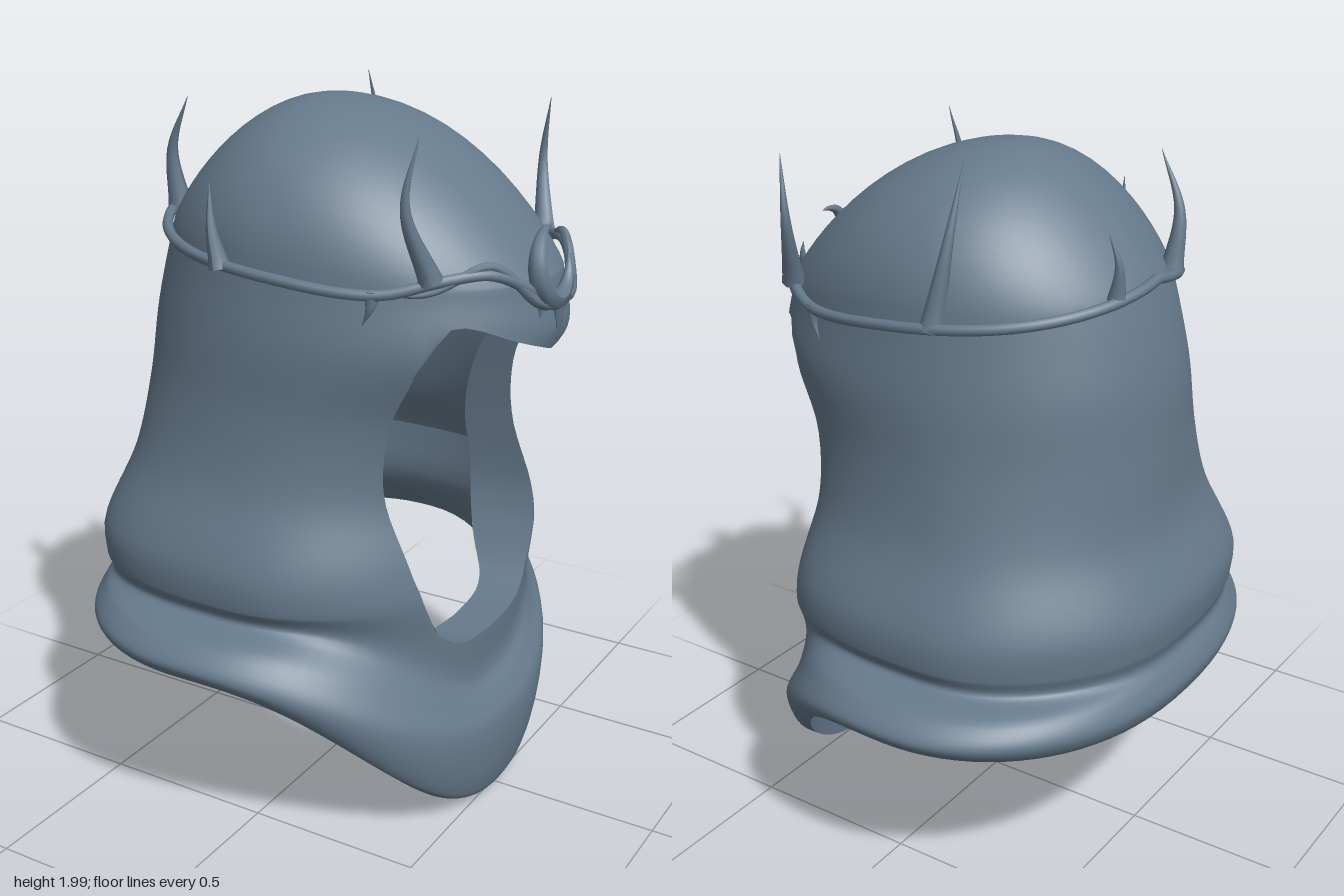
import * as THREE from 'three';

// smooth lookup in rows [key, ...values] with ascending keys
function lookup(rows, k) {
  const n = rows.length;
  k = Math.min(Math.max(k, rows[0][0]), rows[n - 1][0]);
  let i = 0;
  while (i < n - 2 && k > rows[i + 1][0]) i++;
  const a = rows[i], b = rows[i + 1], p = rows[Math.max(i - 1, 0)], q = rows[Math.min(i + 2, n - 1)];
  const h = b[0] - a[0], t = (k - a[0]) / h;
  return a.slice(1).map((v, j) => {
    const w = b[j + 1];
    const m0 = (w - p[j + 1]) / (b[0] - p[0]) * h, m1 = (q[j + 1] - v) / (q[0] - a[0]) * h;
    return v * (1 + 2 * t) * (1 - t) ** 2 + m0 * t * (1 - t) ** 2 + w * t * t * (3 - 2 * t) + m1 * t * t * (t - 1);
  });
}

// hood cross-sections: height, back x, front x, half width, centre x, roundness (1 = ellipse), diagonal skew
const SECTIONS = [
  [0.60, -0.63, 0.48, 0.59, -0.10, 0.82, 0.11], [0.70, -0.64, 0.49, 0.605, -0.08, 0.81, 0.12],
  [0.80, -0.645, 0.475, 0.60, -0.08, 0.81, 0.12], [1.00, -0.575, 0.455, 0.52, -0.08, 0.85, 0.09],
  [1.20, -0.56, 0.52, 0.485, -0.05, 0.93, 0.04], [1.40, -0.55, 0.635, 0.475, 0, 0.97, 0],
  [1.55, -0.52, 0.62, 0.455, 0, 1, 0], [1.70, -0.475, 0.60, 0.435, 0, 1, 0],
];
// heights by angle from the front, in degrees: crown band and foot of the dome
const BAND = [[0, 1.50], [12, 1.54], [28, 1.605], [42, 1.60], [60, 1.565], [90, 1.59], [130, 1.62], [180, 1.68]];
const DOMEFOOT = [[0, 1.56], [60, 1.57], [90, 1.59], [130, 1.62], [180, 1.68]];
// face opening: brow and chin heights across it, left and right half width and lip depth by height
const BROW = [[0, 1.37], [0.4, 1.425], [0.78, 1.48], [0.9, 1.45], [1, 1.35]];
const CHIN = [[0, 0.52], [0.5, 0.535], [0.8, 0.59], [1, 0.70]];
const EDGE = [[0.7, 0.31, 0.35], [0.8, 0.335, 0.38], [1.0, 0.355, 0.385], [1.2, 0.36, 0.375], [1.4, 0.36, 0.36]];
const LIP = [[0.52, 0.12], [0.7, 0.21], [0.9, 0.18], [1.2, 0.12], [1.35, 0.09]];

const deg = Math.PI / 180;
const bandY = (a) => lookup(BAND, Math.abs(a) / deg)[0];
const power = (v, p) => Math.sign(v) * Math.abs(v) ** p;

function section(a, y, out = 0) {
  const [xb, xf, w, xc, round, skew] = lookup(SECTIONS, y), p = round + skew * Math.sin(2 * a);
  const c = power(Math.cos(a), p), s = power(Math.sin(a), p);
  return new THREE.Vector3(xc + (c > 0 ? xf - xc : xc - xb) * c + out * c, y, w * s + out * s);
}

// angle at which the wall meets the opening's half width
function edgeAngle(y, side) {
  const z = lookup(EDGE, y)[side > 0 ? 0 : 1];
  let lo = 0, hi = 75 * deg;
  for (let i = 0; i < 18; i++) {
    const mid = (lo + hi) / 2;
    if (Math.abs(section(mid * side, y).z) < z) lo = mid; else hi = mid;
  }
  return lo;
}

// column position u (-1 to 1, the opening within a quarter of the front) to angle
function angle(u, y) {
  const m = Math.abs(u), side = u < 0 ? -1 : 1, e = edgeAngle(y, side);
  return side * (m < 0.25 ? m / 0.25 * e : e + (m - 0.25) / 0.75 * (Math.PI - e));
}

// one ring of the collar
function collar(a, xb, xf, w, y, backDrop, frontDrop, p) {
  const c = Math.cos(a), xc = -0.12;
  return new THREE.Vector3(
    xc + (c > 0 ? xf - xc : xc - xb) * power(c, 0.95),
    y - (c > 0 ? frontDrop * c ** p : backDrop * c * c),
    w * power(Math.sin(a), 0.88));
}
const hem = (a) => collar(a, -0.61, 0.495, 0.68, 0.52, 0.025, 0.51, 2.6);
const fold = (a, out) => section(a, 0.6, out).setY(0.655 - 0.28 * Math.max(0, Math.cos(a)) ** 4.5);

// surface through columns of points, skipping cells where hole(i, r)
function loft(columns, closed, hole = () => false) {
  const n = columns.length, rows = columns[0].length, index = [], g = new THREE.BufferGeometry();
  for (let i = 0; i < (closed ? n : n - 1); i++) {
    for (let r = 0; r < rows - 1; r++) {
      if (hole(i, r)) continue;
      const a = i * rows + r, b = ((i + 1) % n) * rows + r;
      index.push(a, b, a + 1, b, b + 1, a + 1);
    }
  }
  g.setAttribute('position', new THREE.Float32BufferAttribute(columns.flat().flatMap((p) => p.toArray()), 3));
  g.setIndex(index);
  g.computeVertexNormals();
  return g;
}

function hoodParts() {
  const COLS = 96, DOME = 16, BROWROWS = 8, MID = 24, LOW = 28, shell = [], lining = [];
  for (let i = 0; i < COLS; i++) {
    const u = -1 + 2 * i / COLS, f = Math.min(1, Math.abs(u) / 0.25), col = [];
    const brow = lookup(BROW, f)[0], chin = lookup(CHIN, f)[0];
    const top = angle(u, 1.4), ring = section(top, lookup(DOMEFOOT, Math.abs(top) / deg)[0]);
    // dome
    for (let r = 0; r < DOME; r++) {
      const p = r / DOME * Math.PI / 2, s = Math.max(Math.sin(p), 0.001);
      const rise = Math.cos(p) ** (1 + 0.9 * Math.cos(top) ** 2);
      col.push(new THREE.Vector3(-0.05 + (ring.x + 0.05) * s, ring.y + (1.985 - ring.y) * rise, ring.z * s));
    }
    // brow, then the sides
    for (let r = 0; r < BROWROWS; r++) col.push(section(top, ring.y + (brow - ring.y) * r / BROWROWS));
    for (let r = 0; r < MID; r++) {
      const y = brow + (chin - brow) * r / MID;
      col.push(section(r ? angle(u, y) : top, y));
    }
    // neck, fold, rolled collar and hem
    const a = angle(u, 0.7);
    const drape = new THREE.CatmullRomCurve3([
      section(a, chin), fold(a, 0),
      collar(a, -0.655, 0.515, 0.70, 0.625, 0.01, 0.295, 3),
      collar(a, -0.67, 0.55, 0.75, 0.572, 0.01, 0.31, 2.3),
      collar(a, -0.64, 0.525, 0.715, 0.525, 0.025, 0.49, 2.6), hem(a),
    ]);
    shell.push(col.concat(drape.getPoints(LOW)));
    // smooth inside of the collar, meeting the opening's lip at the front
    const away = THREE.MathUtils.clamp((Math.abs(u) - 0.25) / 0.15, 0, 1);
    const inner = section(a, chin + 0.15 * away, -0.02 * away);
    inner.x -= lookup(LIP, chin)[0] * (1 - away);
    lining.push(new THREE.CatmullRomCurve3([inner, fold(a, -0.025), hem(a)]).getPoints(10));
  }
  const first = DOME + BROWROWS, side = COLS * 3 / 8;
  const hole = (i, r) => i >= side && i < COLS - side && r >= first && r < first + MID;
  return [loft(shell, true, hole), loft(lining, true)];
}

// turned-in lip down one side of the opening, under the chin and up the other
function lipGeometry() {
  const rim = [], wall = (i) => 1.35 - 0.65 * i / 16;
  for (let i = 0; i < 16; i++) rim.push(section(edgeAngle(wall(i), 1), wall(i)));
  for (let i = -10; i <= 10; i++) rim.push(section(angle(-i / 40, 0.7), lookup(CHIN, Math.abs(i) / 10)[0]));
  for (let i = 15; i >= 0; i--) rim.push(section(-edgeAngle(wall(i), -1), wall(i)));
  return loft(rim.map((p) => [p, p.clone().setX(p.x - lookup(LIP, p.y)[0])]), false);
}

// tube whose radius follows size(t)
function taperedTube(points, radius, size, segments = 14) {
  const curve = new THREE.CatmullRomCurve3(points), v = new THREE.Vector3();
  const g = new THREE.TubeGeometry(curve, segments, radius, 8), p = g.attributes.position;
  for (let k = 0; k < p.count; k++) {
    const t = Math.floor(k / 9) / segments, c = curve.getPointAt(t);
    v.fromBufferAttribute(p, k).sub(c).multiplyScalar(size(t)).add(c);
    p.setXYZ(k, v.x, v.y, v.z);
  }
  g.computeVertexNormals();
  return g;
}

export function createModel() {
  const model = new THREE.Group(), crown = new THREE.Group();
  const cloth = new THREE.MeshStandardMaterial({ color: 0x667a8c, side: THREE.DoubleSide });
  cloth.name = 'slate blue';
  const add = (name, geometry, parent = crown) => {
    const m = new THREE.Mesh(geometry, cloth);
    m.name = name;
    parent.add(m);
  };
  const [shell, lining] = hoodParts();
  add('hood', shell, model);
  add('collarLining', lining, model);
  add('openingLip', lipGeometry(), model);
  crown.name = 'crown';
  model.add(crown);

  // main band
  const ring = [];
  for (let a = -180; a < 180; a += 5) ring.push(section(a * deg, bandY(a * deg), 0.017));
  add('band', new THREE.TubeGeometry(new THREE.CatmullRomCurve3(ring, true), 144, 0.015, 8, true));

  // thorns: base, bend, tip
  const V = (x, y, z) => new THREE.Vector3(x, y, z);
  const thorn = (r, ...pts) => add('thorn', taperedTube(pts.map((p) => V(...p)), r, (t) => 1.02 - t ** 0.8));
  thorn(0.034, [-0.46, 1.66, 0.15], [-0.465, 1.82, 0.17], [-0.40, 1.97, 0.18]);
  thorn(0.026, [-0.465, 1.66, -0.15], [-0.475, 1.75, -0.16], [-0.45, 1.83, -0.17]);
  thorn(0.030, [-0.11, 1.59, 0.455], [-0.13, 1.69, 0.46], [-0.14, 1.81, 0.45]);
  thorn(0.034, [-0.10, 1.59, -0.44], [-0.13, 1.80, -0.41], [-0.14, 2.0, -0.35]);
  for (const s of [1, -1]) {
    thorn(0.032, [0.44, 1.60, 0.335 * s], [0.40, 1.79, 0.40 * s], [0.425, 1.96, 0.38 * s]);
    thorn(0.024, [0.31, 1.57, 0.40 * s], [0.31, 1.53, 0.41 * s], [0.29, 1.485, 0.415 * s]);
    thorn(0.018, [0.615, 1.53, 0.07 * s], [0.625, 1.50, 0.08 * s], [0.62, 1.46, 0.085 * s]);
    // second strand woven around the front of the band
    const strand = [];
    for (let i = 0; i <= 10; i++) {
      const a = (3 + i * 5.2) * deg;
      strand.push(section(a * s, bandY(a) - 0.022 * Math.sin(i / 10 * Math.PI * 3), 0.017));
    }
    add('strand', taperedTube(strand, 0.016, (t) => 1.1 - t * 0.7, 40));
  }
  thorn(0.026, [0.635, 1.50, 0], [0.64, 1.45, 0], [0.635, 1.39, 0]);

  // crescent moon on the brow, horns pointing up and to the right side
  const moon = [];
  for (let d = 80; d <= 370; d += 14.5) {
    moon.push(V(0.625 - Math.sin(d * deg) * 0.015, 1.605 + Math.sin(d * deg) * 0.095, 0.015 - Math.cos(d * deg) * 0.095));
  }
  add('crescent', taperedTube(moon, 0.028, (t) => 0.03 + Math.sin(t * Math.PI) ** 0.9, 40));
  return model;
}
